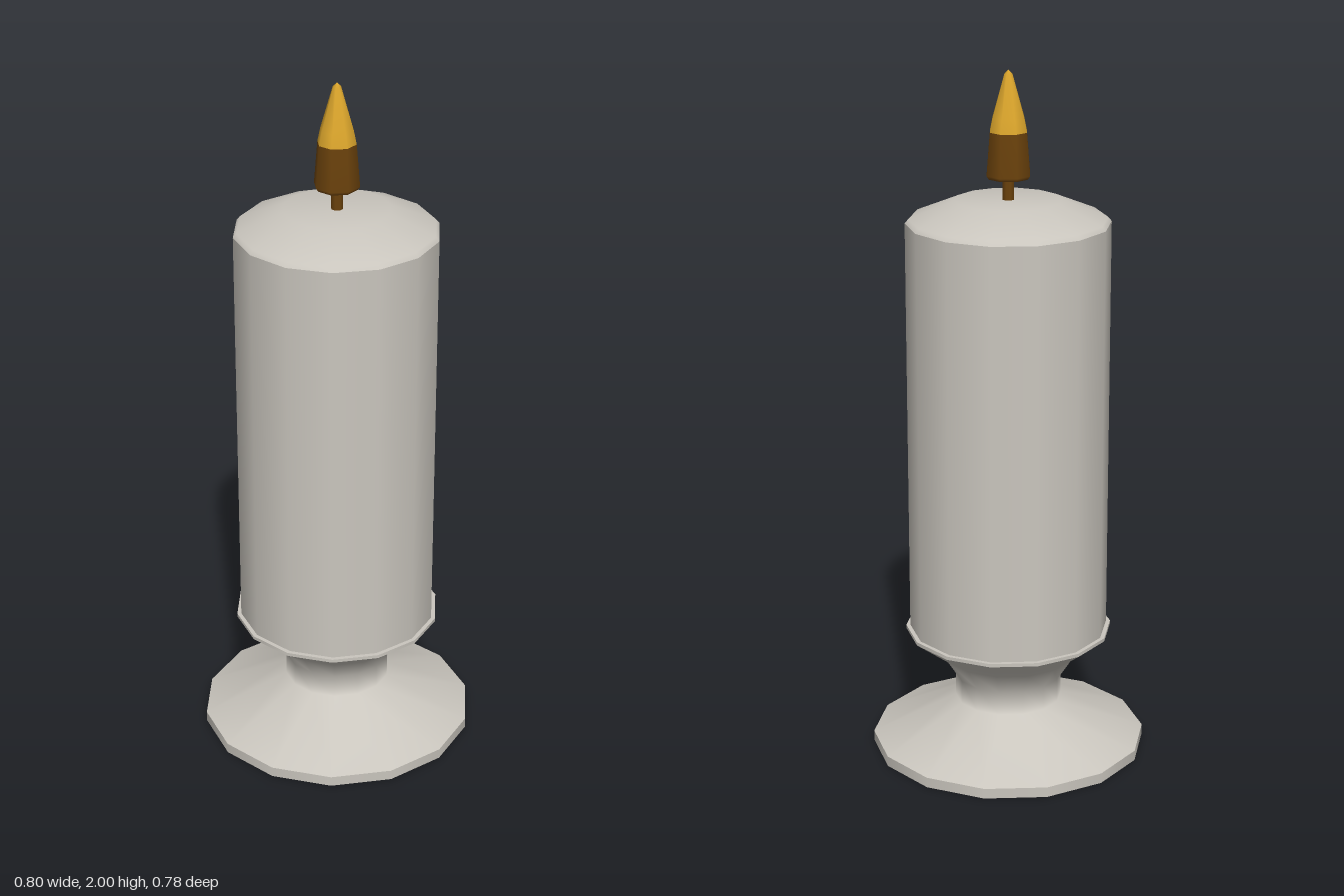
import * as THREE from 'three';
import { mergeGeometries } from 'three/addons/utils/BufferGeometryUtils.js';

// Turned part: each run of [radius, y] points is smooth, edges between runs are sharp
function turned(name, sides, material, ...runs) {
  const lathes = runs.map((run) => new THREE.LatheGeometry(
    run.map(([r, y]) => new THREE.Vector2(r, y)), sides, Math.PI / 2));
  const mesh = new THREE.Mesh(mergeGeometries(lathes), material);
  mesh.name = name;
  return mesh;
}

export function createModel() {
  const wax = new THREE.MeshStandardMaterial({ name: 'warmGrey', color: 0xcac6be });
  const brown = new THREE.MeshStandardMaterial({ name: 'darkAmber', color: 0x6b420c });
  const gold = new THREE.MeshStandardMaterial({ name: 'flameGold', color: 0xdca62c });

  const group = new THREE.Group();
  group.name = 'candle';

  // Holder: flat underside, foot rim, flared stem and cup, cup lip
  group.add(turned('holder', 14, wax,
    [[0, 0], [0.4, 0]],
    [[0.4, 0], [0.4, 0.03]],
    [[0.4, 0.03], [0.155, 0.145], [0.155, 0.215], [0.2, 0.285], [0.3, 0.36]],
    [[0.3, 0.36], [0.3, 0.37]],
    [[0.3, 0.37], [0, 0.37]]));

  // Wax pillar with a softly shaded sloping shoulder
  group.add(turned('pillar', 14, wax,
    [[0.288, 0.365], [0.288, 1.575]],
    [[0.288, 1.575], [0.278, 1.587], [0.15, 1.64], [0, 1.64]]));

  // Wick
  group.add(turned('wick', 8, brown, [[0.017, 1.63], [0.017, 1.71]]));

  // Flame: dark lower bulb and bright tip
  group.add(turned('flameBase', 8, brown,
    [[0, 1.7], [0.058, 1.7]],
    [[0.058, 1.7], [0.065, 1.71], [0.055, 1.83]]));
  group.add(turned('flameTip', 8, gold,
    [[0.055, 1.83], [0.047, 1.868], [0.012, 1.988], [0, 2]]));

  return group;
}
